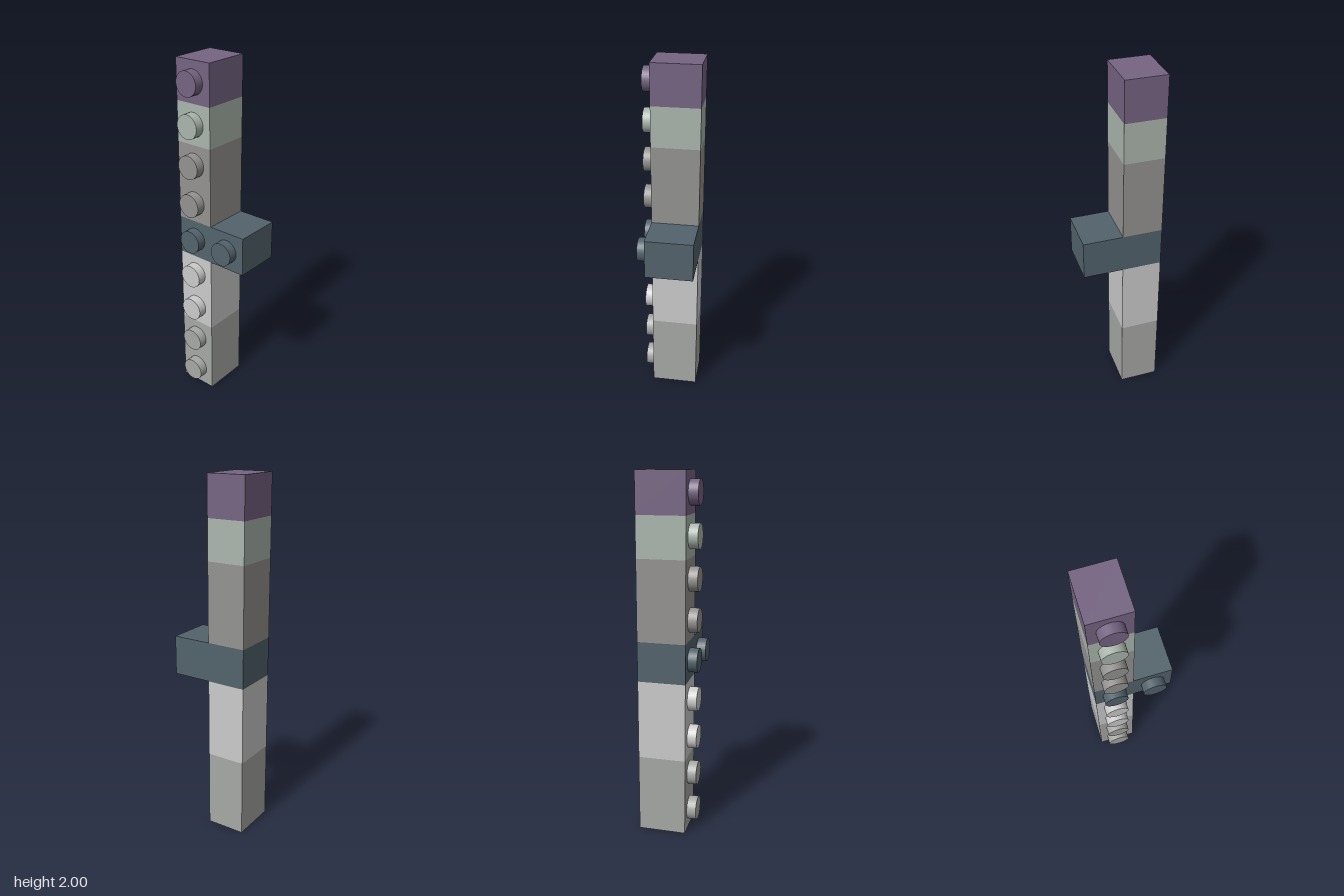
import * as THREE from 'three';

const U = 2 / 9;            // one stud pitch
const BACK = -0.159, FACE = 0.107, STUD_TIP = 0.159;
const STUD_R = 0.0667;

// A block of cols x rows pitches with a stud on each cell of its front face
function brick(name, color, row, cols, rows) {
  const group = new THREE.Group();
  group.name = name;
  const material = new THREE.MeshStandardMaterial({ color });

  const body = new THREE.Mesh(new THREE.BoxGeometry(cols * U, rows * U, FACE - BACK), material);
  body.name = name + 'Body';
  body.position.set(-U + (cols * U) / 2, (row + rows / 2) * U, (FACE + BACK) / 2);
  group.add(body);

  const studGeometry = new THREE.CylinderGeometry(STUD_R, STUD_R, STUD_TIP - FACE, 32);
  studGeometry.rotateX(Math.PI / 2);
  for (let c = 0; c < cols; c++) {
    for (let r = 0; r < rows; r++) {
      const stud = new THREE.Mesh(studGeometry, material);
      stud.name = name + 'Stud';
      stud.position.set(-U + (c + 0.5) * U, (row + r + 0.5) * U, (FACE + STUD_TIP) / 2);
      group.add(stud);
    }
  }
  return group;
}

export function createModel() {
  const model = new THREE.Group();
  model.name = 'brickColumn';
  // name, color, first row, columns, rows
  const bricks = [
    ['bottomBrick', 0xa7a9a6, 0, 1, 2],
    ['lowerBrick', 0xcccccc, 2, 1, 2],
    ['crossBrick', 0x53636c, 4, 2, 1],
    ['upperBrick', 0x949391, 5, 1, 2],
    ['greenBrick', 0xabb6ad, 7, 1, 1],
    ['topBrick', 0x756482, 8, 1, 1],
  ];
  for (const b of bricks) model.add(brick(...b));
  return model;
}
